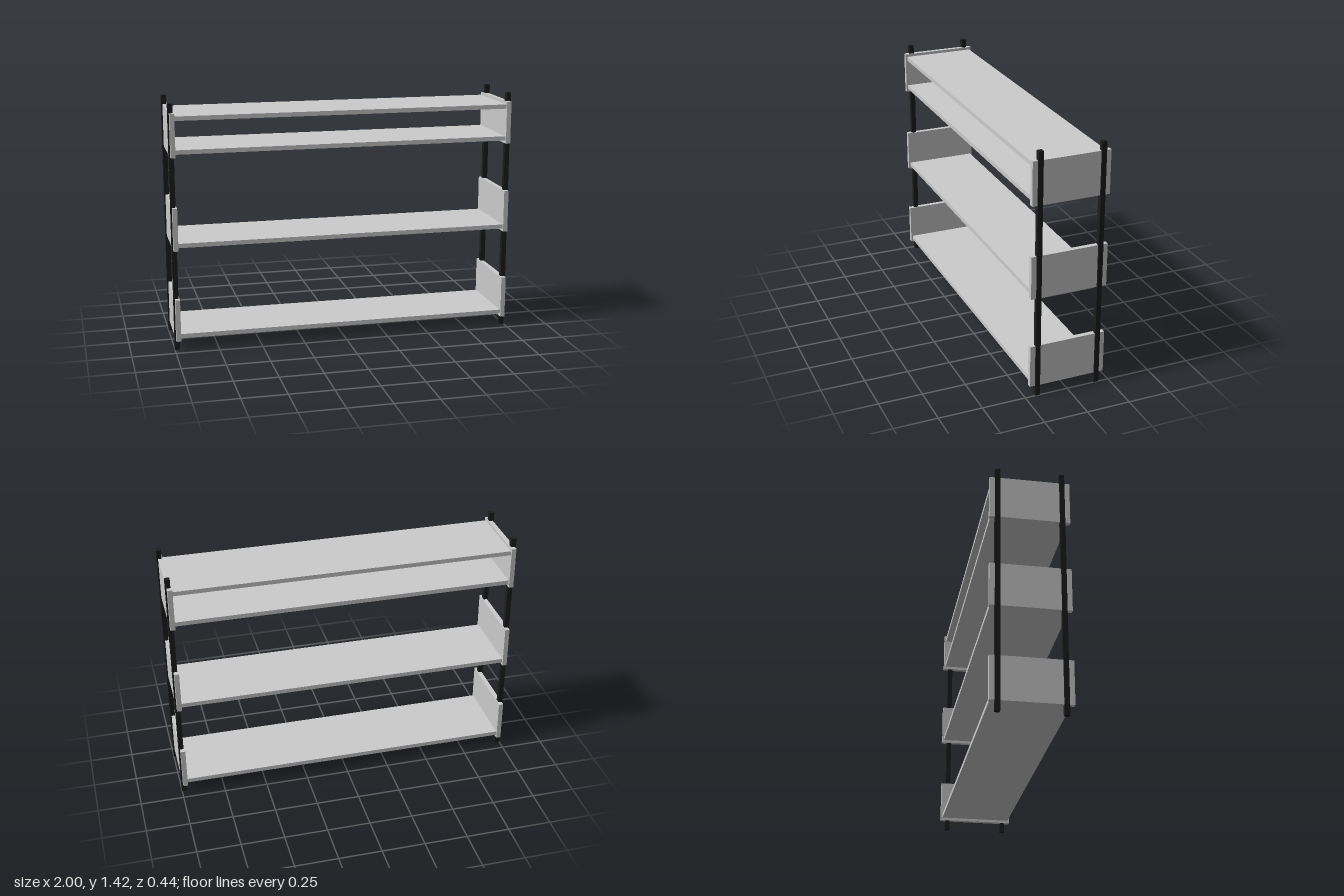
import * as THREE from 'three';

const grey = new THREE.MeshStandardMaterial({ color: 0xcccccc });
const black = new THREE.MeshStandardMaterial({ color: 0x1c1c1c });

// Box given by its size, centre x, bottom y and centre z
function box(name, w, h, d, x, y, z, material) {
  const mesh = new THREE.Mesh(new THREE.BoxGeometry(w, h, d), material);
  mesh.name = name;
  mesh.position.set(x, y + h / 2, z);
  return mesh;
}

export function createModel() {
  const model = new THREE.Group();
  model.name = 'shelvingUnit';

  for (const side of [1, -1]) {
    const label = side > 0 ? 'left' : 'right';

    // Square posts, let into the outer faces of the side panels
    for (const z of [0.177, -0.177]) {
      const end = z > 0 ? 'Front' : 'Back';
      model.add(box(`${label}${end}Post`, 0.028, 1.42, 0.028, side * 0.986, 0, z, black));
    }

    // Side panels, one per tier
    [0.058, 0.59, 1.122].forEach((y, i) => {
      model.add(box(`${label}SidePanel${i + 1}`, 0.027, 0.247, 0.44, side * 0.9795, y, 0, grey));
    });
  }

  // Shelves between the panels; the top tier has a second board as its lid
  [0.074, 0.607, 1.14, 1.328].forEach((y, i) => {
    model.add(box(i < 3 ? `shelf${i + 1}` : 'topBoard', 1.932, 0.025, 0.42, 0, y, 0, grey));
  });

  return model;
}
